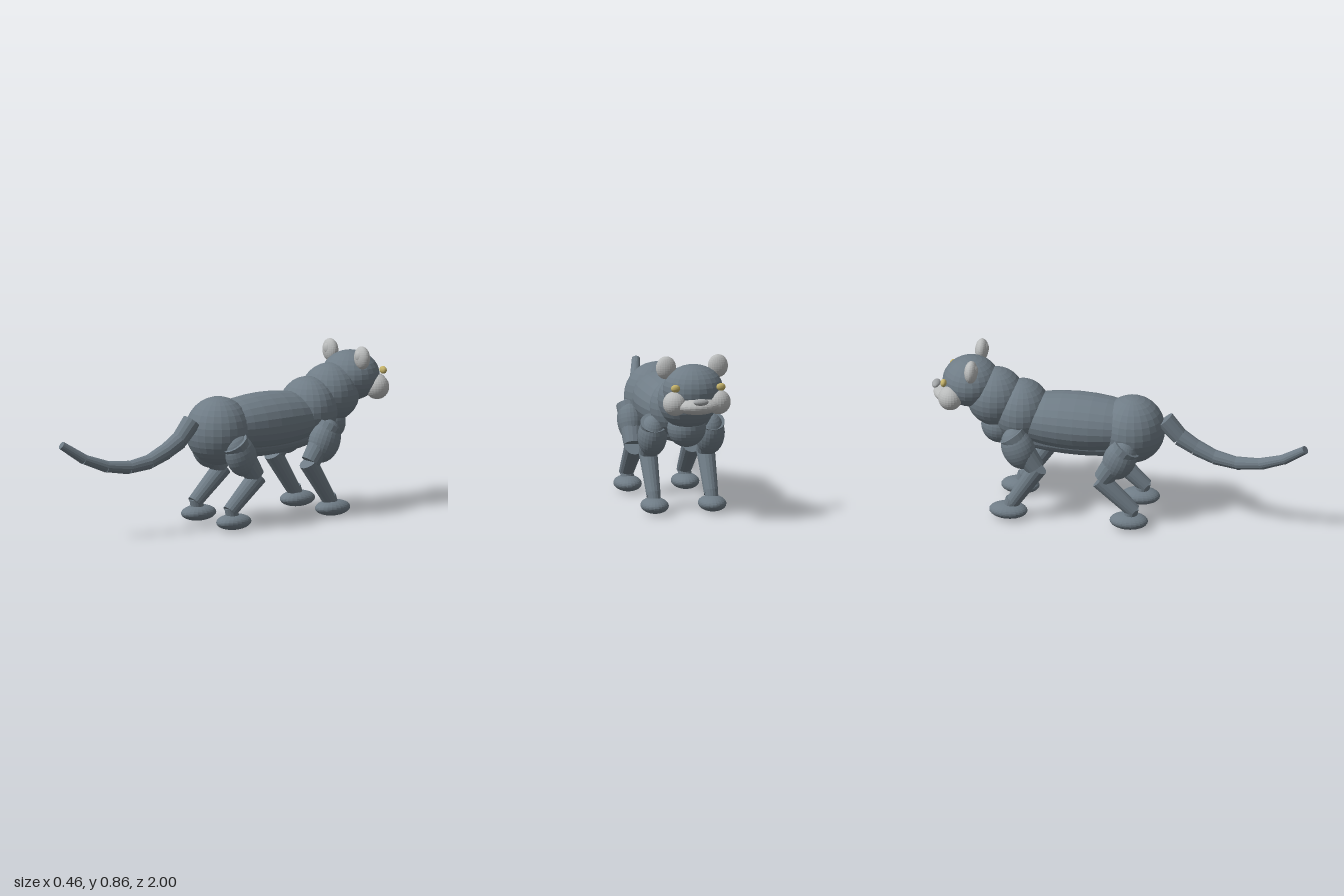
import * as THREE from 'three';

function paint(name, color) {
  const m = new THREE.MeshStandardMaterial({ color, flatShading: true });
  m.name = name;
  return m;
}

export function createModel() {
  const model = new THREE.Group();
  model.name = 'bigCat';
  const fur = paint('slateFur', 0x6f7c86);
  const pale = paint('paleGrey', 0xb9bbbb);
  const noseGrey = paint('noseGrey', 0xa3a6a8);
  const amber = paint('amberEye', 0xc4b26a);

  // Ellipsoid from centre and radii, pitched about x
  function blob(name, mat, [x, y, z], [rx, ry, rz], pitch = 0, parent = model) {
    const mesh = new THREE.Mesh(new THREE.SphereGeometry(1, 24, 16), mat);
    mesh.name = name;
    mesh.position.set(x, y, z);
    mesh.scale.set(rx, ry, rz);
    mesh.rotation.x = pitch;
    parent.add(mesh);
    return mesh;
  }

  // Tapered cylinder between two points
  function limb(name, mat, a, b, ra, rb, parent = model, sides = 16) {
    const p = new THREE.Vector3(...a), q = new THREE.Vector3(...b);
    const dir = q.clone().sub(p);
    const mesh = new THREE.Mesh(new THREE.CylinderGeometry(rb, ra, dir.length(), sides), mat);
    mesh.name = name;
    mesh.position.copy(p).add(q).multiplyScalar(0.5);
    mesh.quaternion.setFromUnitVectors(new THREE.Vector3(0, 1, 0), dir.normalize());
    parent.add(mesh);
    return mesh;
  }

  // Body masses; the long ones have their poles along z
  blob('haunches', fur, [0, 0.498, 0.055], [0.17, 0.178, 0.17]);
  blob('torso', fur, [0, 0.515, -0.23], [0.17, 0.42, 0.15], Math.PI / 2);
  blob('belly', fur, [0, 0.415, -0.23], [0.11, 0.38, 0.08], Math.PI / 2);
  blob('shoulders', fur, [0, 0.55, -0.525], [0.166, 0.163, 0.145]);
  blob('brisket', fur, [0, 0.46, -0.64], [0.1, 0.1, 0.1]);
  blob('neck', fur, [0, 0.615, -0.665], [0.155, 0.153, 0.15]);

  // Head
  blob('head', fur, [0, 0.69, -0.795], [0.157, 0.13, 0.148]);
  blob('muzzle', pale, [0, 0.622, -0.9], [0.115, 0.045, 0.09]);
  blob('nose', noseGrey, [0, 0.655, -0.978], [0.04, 0.018, 0.022]);
  for (const s of [1, -1]) {
    blob('cheek', pale, [s * 0.114, 0.635, -0.88], [0.064, 0.064, 0.063]);
    blob('eye', amber, [s * 0.12, 0.72, -0.915], [0.024, 0.02, 0.016]);
    blob('ear', pale, [s * 0.137, 0.803, -0.767], [0.053, 0.06, 0.034]);
    blob('innerEar', pale, [s * 0.137, 0.813, -0.746], [0.024, 0.029, 0.016]);
  }

  // Legs, mirrored left and right
  for (const s of [1, -1]) {
    const side = s > 0 ? 'left' : 'right';
    const x = s * 0.152;

    const hind = new THREE.Group();
    hind.name = side + 'HindLeg';
    model.add(hind);
    blob('thigh', fur, [s * 0.146, 0.385, 0.017], [0.07, 0.116, 0.085], 0.4, hind);
    limb('upperHindLeg', fur, [s * 0.138, 0.455, 0.055], [x, 0.27, -0.07], 0.075, 0.05, hind);
    limb('lowerHindLeg', fur, [x, 0.265, -0.085], [x, 0.1, 0.095], 0.05, 0.038, hind);
    limb('hindAnkle', fur, [x, 0.12, 0.085], [x, 0.05, 0.07], 0.035, 0.035, hind);
    blob('hindPaw', fur, [x, 0.045, 0.067], [0.072, 0.041, 0.1], 0, hind);

    const fore = new THREE.Group();
    fore.name = side + 'ForeLeg';
    model.add(fore);
    blob('upperArm', fur, [x, 0.4, -0.515], [0.076, 0.115, 0.085], -0.4, fore);
    limb('upperForeLeg', fur, [x, 0.475, -0.55], [x, 0.3, -0.425], 0.07, 0.05, fore);
    limb('forearm', fur, [x, 0.3, -0.41], [x, 0.09, -0.545], 0.049, 0.037, fore);
    limb('foreAnkle', fur, [x, 0.11, -0.545], [x, 0.05, -0.565], 0.035, 0.035, fore);
    blob('forePaw', fur, [x, 0.045, -0.567], [0.072, 0.041, 0.1], 0, fore);
  }

  // Tail made of short tapering segments
  const tail = new THREE.Group();
  tail.name = 'tail';
  model.add(tail);
  const path = [
    [0, 0.565, 0.225], [0, 0.475, 0.305], [-0.004, 0.425, 0.39], [-0.011, 0.383, 0.49],
    [-0.024, 0.366, 0.61], [-0.042, 0.383, 0.74], [-0.067, 0.432, 0.865], [-0.1, 0.515, 0.986],
  ];
  const radius = i => 0.05 - 0.0038 * i;
  for (let i = 0; i < path.length - 1; i++) {
    limb('tailSegment', fur, path[i], path[i + 1], radius(i), radius(i + 1) - 0.002, tail, 14);
  }
  return model;
}
